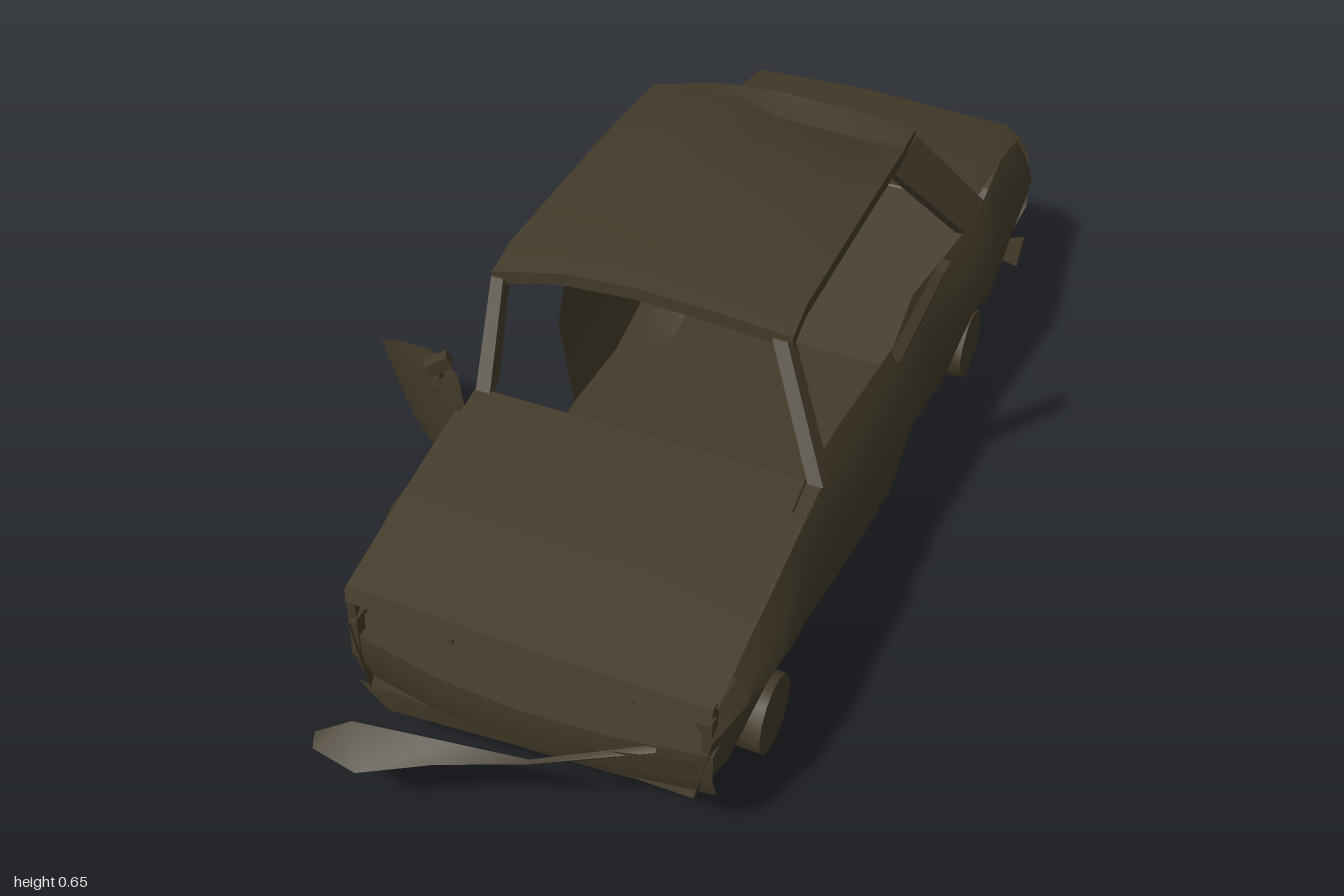
import * as THREE from 'three';
import { toCreasedNormals } from 'three/addons/utils/BufferGeometryUtils.js';

export function createModel() {
  const car = new THREE.Group();
  car.name = 'wreckedSaloon';
  const rust = new THREE.MeshStandardMaterial({ color: 0x423a29, side: THREE.DoubleSide });
  rust.name = 'rustyBrown';
  const bare = new THREE.MeshStandardMaterial({ color: 0xcccccc, side: THREE.DoubleSide });
  bare.name = 'bareGrey';

  function add(name, geo, material = rust) {
    const mesh = new THREE.Mesh(geo, material);
    mesh.name = name;
    car.add(mesh);
    return mesh;
  }
  // Sheet of metal through rows of [x, y, z] points
  function sheet(name, rows, material = rust) {
    const n = rows[0].length, index = [];
    for (let i = 0; i < rows.length - 1; i++)
      for (let j = 0; j < n - 1; j++) {
        const a = i * n + j, b = a + n;
        index.push(a, b, a + 1, a + 1, b, b + 1);
      }
    const geo = new THREE.BufferGeometry();
    geo.setAttribute('position', new THREE.Float32BufferAttribute(rows.flat(2), 3));
    geo.setIndex(index);
    geo.computeVertexNormals();
    return add(name, toCreasedNormals(geo, 0.7), material);
  }
  // Four-sided bar from a to b, with half sizes along x and z at each end
  function bar(name, a, b, [ax, az], [bx, bz]) {
    const ring = ([x, y, z], w, d) =>
      [[-w, -d], [w, -d], [w, d], [-w, d], [-w, -d]].map(([u, v]) => [x + u, y, z + v]);
    return sheet(name, [ring(a, 0, 0), ring(a, ax, az), ring(b, bx, bz), ring(b, 0, 0)]);
  }

  // Body stations: z, right x, left x, belt height, lower edge, floor height
  const stations = [
    [0.82, -0.17, 0.48, 0.35, 0.14, 0.14],
    [0.72, -0.205, 0.50, 0.365, 0.14, 0.13],
    [0.67, -0.22, 0.51, 0.37, 0.205, 0.13],
    [0.58, -0.235, 0.515, 0.385, 0.24, 0.13],
    [0.49, -0.225, 0.51, 0.40, 0.205, 0.125],
    [0.44, -0.215, 0.50, 0.405, 0.125, 0.12],
    [0.33, -0.205, 0.495, 0.425, 0.105, 0.10],
    [0.18, -0.20, 0.50, 0.43, 0.085, 0.085],
    [-0.07, -0.215, 0.515, 0.43, 0.09, 0.09],
    [-0.24, -0.20, 0.497, 0.43, 0.11, 0.105],
    [-0.40, -0.21, 0.515, 0.43, 0.13, 0.12],
    [-0.45, -0.215, 0.52, 0.43, 0.2, 0.125],
    [-0.535, -0.225, 0.53, 0.43, 0.235, 0.125],
    [-0.62, -0.22, 0.525, 0.43, 0.2, 0.125],
    [-0.67, -0.215, 0.52, 0.425, 0.13, 0.125],
    [-0.80, -0.20, 0.507, 0.405, 0.13, 0.13],
    [-0.90, -0.188, 0.502, 0.39, 0.135, 0.135],
    [-0.955, -0.18, 0.495, 0.383, 0.19, 0.19],
  ];
  // Side section from belt to lower edge, then sloping inward to the floor pan
  const section = ([z, xr, xl, belt, low, floor], s) => {
    const x = s > 0 ? xl : xr;
    return [
      [x - s * 0.05, belt, z], [x - s * 0.015, belt - 0.06, z], [x, 0.28, z],
      [x - s * 0.03, low, z], [x - s * 0.09, low * 0.6 + floor * 0.4, z], [x - s * 0.13, floor, z],
    ];
  };
  const front = stations.filter(t => t[0] >= 0.33);
  const middle = stations.filter(t => t[0] <= 0.33 && t[0] >= -0.07);
  const rear = stations.filter(t => t[0] <= -0.07);
  sheet('leftSide', stations.map(t => section(t, 1)));
  sheet('rightFrontWing', front.map(t => section(t, -1)));
  sheet('rightRearSide', rear.map(t => section(t, -1)));
  sheet('rightSill', middle.map(t => section(t, -1).slice(3)));
  sheet('floorPan', stations.map(t => [section(t, -1)[5], section(t, 1)[5]]));

  // Worn patches under the floor: x, z, half width, half length
  const floorAt = z => {
    const i = stations.findIndex(t => t[0] <= z), a = stations[i - 1], b = stations[i];
    return THREE.MathUtils.lerp(a[5], b[5], (z - a[0]) / (b[0] - a[0]));
  };
  for (const [x, z, w, d] of [
    [0.42, -0.25, 0.025, 0.085], [0.41, 0.13, 0.02, 0.05], [0.15, 0.32, 0.05, 0.045],
    [0.18, 0.61, 0.04, 0.075], [-0.01, 0.31, 0.03, 0.03], [-0.1, -0.26, 0.035, 0.07],
    [0.1, -0.85, 0.06, 0.03], [-0.02, -0.145, 0.02, 0.025]]) {
    const edge = Array.from({ length: 11 }, (_, i) => {
      const a = i % 10 / 10 * Math.PI * 2, r = i % 2 ? 0.7 : 1.1, pz = z + Math.sin(a) * d * r;
      return [x + Math.cos(a) * w * r, floorAt(pz) - 0.005, pz];
    });
    sheet('wornFloorPatch', [edge, edge.map(() => [x, floorAt(z) - 0.005, z])], bare);
  }

  // Nose with the empty grille opening
  const nose = [[-0.175, 0.805], [0, 0.84], [0.16, 0.85], [0.32, 0.84], [0.48, 0.815]];
  sheet('nosePanel', [[0.135, -0.02], [0.19, 0], [0.245, 0], [0.25, -0.09], [0.335, -0.09], [0.34, -0.015]]
    .map(([y, dz]) => nose.map(([x, z]) => [x, y, z + dz])));
  for (const x of [-0.01, 0.32])
    bar('grilleBrace', [x, 0.245, 0.76], [x, 0.34, 0.76], [0.004, 0.006], [0.004, 0.006]);
  for (const x of [-0.166, 0.468])
    bar('noseCorner', [x, 0.2, 0.80], [x, 0.345, 0.80], [0.008, 0.012], [0.008, 0.012]);

  // Engine bay deck, cowl and the half-open bonnet
  sheet('engineDeck', [[0.81, 0.34], [0.58, 0.37], [0.44, 0.4], [0.33, 0.42], [0.3, 0.38]]
    .map(([z, y]) => [[-0.18, y, z], [0.16, y, z], [0.475, y, z]]));
  sheet('bonnet', [[0.80, 0.334], [0.825, 0.336], [0.815, 0.364], [0.62, 0.408], [0.43, 0.445], [0.43, 0.436], [0.79, 0.352]]
    .map(([z, y]) => [[-0.168, y, z], [0.16, y + 0.002, z + 0.012], [0.48, y - 0.008, z + 0.004]]));
  sheet('firewall', [[[-0.17, 0.41, 0.36], [0.46, 0.41, 0.36]], [[-0.13, 0.1, 0.36], [0.42, 0.1, 0.36]]]);

  // Boot lid and tail
  const tail = [[-0.18, -0.95], [-0.15, -0.985], [0.1, -1.0], [0.42, -0.975], [0.495, -0.95]];
  sheet('bootLid', [[0.58, 0.435], [0.7, 0.43], [0.86, 0.41], [1, 0.387]].map(([k, y], i) =>
    tail.map(([x, z], j) => {
      const edge = j === 0 || j === 4;
      return [edge ? x - Math.sign(x) * 0.035 : x, y - (edge ? 0.006 : 0), i === 3 ? z : -k];
    })));
  sheet('tailPanel', [[0.385, 0, 0.04], [0.34, -0.003, 0.012], [0.22, 0.005, 0], [0.135, 0.08, 0.03]]
    .map(([y, dz, inset]) => tail.map(([x, z], j) =>
      [j === 0 || j === 4 ? x - Math.sign(x) * inset : x, y, z + dz])));
  sheet('rearBulkhead', [[[-0.17, 0.43, -0.58], [0.47, 0.43, -0.58]], [[-0.17, 0.4, -0.5], [0.47, 0.4, -0.5]],
    [[-0.14, 0.12, -0.4], [0.43, 0.12, -0.4]]]);

  // Skewed roof with a folded rim and a buckled dent at the back
  const across = [[-0.2, 0.61], [-0.06, 0.645], [0.08, 0.655], [0.24, 0.647], [0.37, 0.637]];
  const along = [[0.215, -0.018], [0.14, 0], [-0.2, 0], [-0.4, -0.008], [-0.45, -0.012], [-0.51, -0.02]];
  const roof = along.map(([z, dy], i) => across.map(([x, y], j) =>
    [x - (j === 4 ? i * 0.004 : 0), y + dy - (i === 4 && j > 1 && j < 4 ? 0.028 : 0), z]));
  sheet('roof', roof);
  const rim = [...roof[0], ...roof.slice(1).map(r => r[4]), ...roof[5].slice(0, 4).reverse(),
    ...roof.slice(0, 5).reverse().map(r => r[0])];
  sheet('roofRim', [rim, rim.map(([x, y, z]) => [x, y - 0.025, z]),
    rim.map(([x, y, z]) => [x + (0.08 - x) * 0.1, y - 0.02, z + (-0.15 - z) * 0.08])]);

  // Pillars: the left middle post is torn loose and leans outward
  bar('leftFrontPillar', [0.465, 0.42, 0.32], [0.348, 0.61, 0.205], [0.014, 0.018], [0.014, 0.015]);
  bar('rightFrontPillar', [-0.163, 0.42, 0.32], [-0.187, 0.585, 0.205], [0.014, 0.018], [0.012, 0.015]);
  bar('leftMiddlePost', [0.472, 0.41, -0.08], [0.538, 0.622, -0.085], [0.012, 0.022], [0.009, 0.018]);
  bar('rightMiddlePillar', [-0.17, 0.42, -0.145], [-0.188, 0.605, -0.1], [0.01, 0.045], [0.01, 0.022]);
  for (const [name, xb, xt, yt] of [['left', 0.468, 0.342, 0.605], ['right', -0.172, -0.188, 0.585]])
    bar(name + 'RearPillar', [xb, 0.42, -0.55], [xt, yt, -0.435], [0.014, 0.062], [0.012, 0.072]);

  // Right front door hanging open, with its mirror
  const skin = [
    [[-0.27, 0.395, 0.315], [-0.41, 0.308, 0.17], [-0.55, 0.22, 0.05]],
    [[-0.235, 0.27, 0.34], [-0.385, 0.20, 0.215], [-0.50, 0.12, 0.07]],
    [[-0.207, 0.14, 0.33], [-0.31, 0.07, 0.19], [-0.415, 0.005, 0.07]],
  ];
  const inner = skin.map(r => r.map(([x, y, z]) => [x + 0.03, y + 0.005, z - (z < 0.1 ? 0.005 : 0.025)]));
  sheet('doorSkin', skin);
  sheet('doorInner', inner);
  const loop = g => [...g[0], g[1][2], ...[...g[2]].reverse(), g[1][0], g[0][0]];
  sheet('doorEdge', [loop(skin), loop(inner)]);
  const mirror = add('doorMirror', new THREE.BoxGeometry(0.045, 0.026, 0.025));
  mirror.position.set(-0.272, 0.423, 0.3);
  mirror.rotation.set(0, 0.5, 0.45);
  bar('mirrorStalk', [-0.27, 0.38, 0.305], [-0.28, 0.42, 0.302], [0.01, 0.01], [0.007, 0.007]);

  // Wheels
  for (const [name, x, z, w, turn] of [
    ['leftFrontWheel', 0.462, 0.585, 0.075, 0], ['rightFrontWheel', -0.14, 0.585, 0.085, 0.25],
    ['leftRearWheel', 0.462, -0.535, 0.075, 0], ['rightRearWheel', -0.15, -0.535, 0.085, 0.1]]) {
    const geo = new THREE.CylinderGeometry(0.072, 0.072, w, 14).rotateZ(Math.PI / 2);
    const wheel = add(name, toCreasedNormals(geo, 0.6));
    wheel.position.set(x, 0.125, z);
    wheel.rotation.y = turn;
  }

  // Torn front bumper, swinging forward on the right
  sheet('frontBumper', [
    [[-0.17, 0.15, 0.95], [-0.16, 0.14, 0.975], [-0.165, 0.12, 0.95]],
    [[-0.11, 0.18, 0.928], [-0.07, 0.14, 0.993], [-0.09, 0.092, 0.935]],
    [[0.05, 0.19, 0.913], [0.05, 0.165, 0.945], [0.05, 0.145, 0.92]],
    [[0.20, 0.20, 0.90], [0.20, 0.192, 0.903], [0.20, 0.185, 0.90]],
    [[0.39, 0.245, 0.825], [0.39, 0.235, 0.835], [0.39, 0.225, 0.825]],
  ]);
  sheet('bentValance', [
    [[-0.17, 0.14, 0.81], [-0.11, 0.10, 0.82]],
    [[0.16, 0.19, 0.865], [0.18, 0.175, 0.86]],
    [[0.37, 0.238, 0.85], [0.34, 0.19, 0.845]],
    [[0.46, 0.238, 0.83], [0.46, 0.195, 0.825]],
  ]);

  // Broken corners of the rear bumper
  for (const [name, x, s, tip] of [['leftRearBumperEnd', 0.505, 1, 0.08], ['rightRearBumperEnd', -0.205, -1, 0.045]])
    sheet(name, [
      [[x, 0.16, -0.915], [x, 0.115, -0.87]],
      [[x - s * 0.01, 0.13, -0.955], [x - s * 0.015, 0.055, -0.945]],
      [[x - s * 0.08, 0.095, -0.965], [x - s * 0.08, 0.052, -0.965]],
      [[x - s * 0.2, tip + 0.005, -0.97], [x - s * 0.2, tip, -0.97]],
    ]);
  return car;
}
